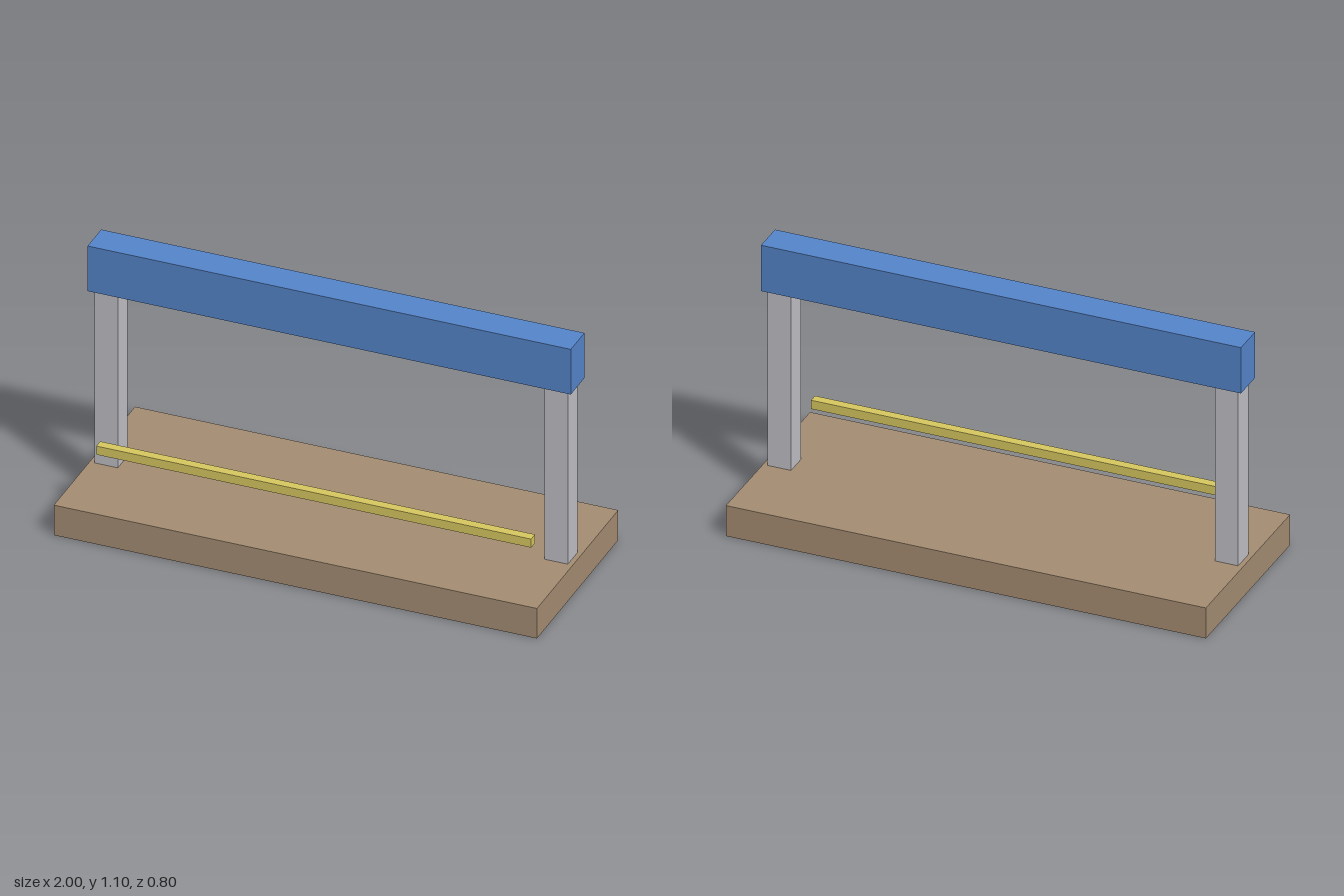
import * as THREE from 'three';

// Box spanning the given [min, max] range on each axis
function addBox(group, name, color, [x0, x1], [y0, y1], [z0, z1]) {
  const mesh = new THREE.Mesh(
    new THREE.BoxGeometry(x1 - x0, y1 - y0, z1 - z0),
    new THREE.MeshStandardMaterial({ color })
  );
  mesh.name = name;
  mesh.position.set((x0 + x1) / 2, (y0 + y1) / 2, (z0 + z1) / 2);
  group.add(mesh);
}

export function createModel() {
  const group = new THREE.Group();
  group.name = 'barrierFrame';

  // Base slab
  addBox(group, 'base', 0xa58d73, [-1, 1], [0, 0.133], [-0.4, 0.4]);

  // Upright posts, set into the base and carrying the beam
  addBox(group, 'leftPost', 0xc0c0c6, [0.883, 0.98], [0.02, 0.9], [-0.048, 0.048]);
  addBox(group, 'rightPost', 0xc0c0c6, [-0.98, -0.883], [0.02, 0.9], [-0.048, 0.048]);

  // Top beam
  addBox(group, 'topBeam', 0x5585cb, [-1, 1], [0.9, 1.1], [-0.067, 0.067]);

  // Thin bar hovering in front of the posts
  addBox(group, 'frontBar', 0xd8c860, [-0.9, 0.9], [0.281, 0.319], [0.181, 0.219]);

  return group;
}
